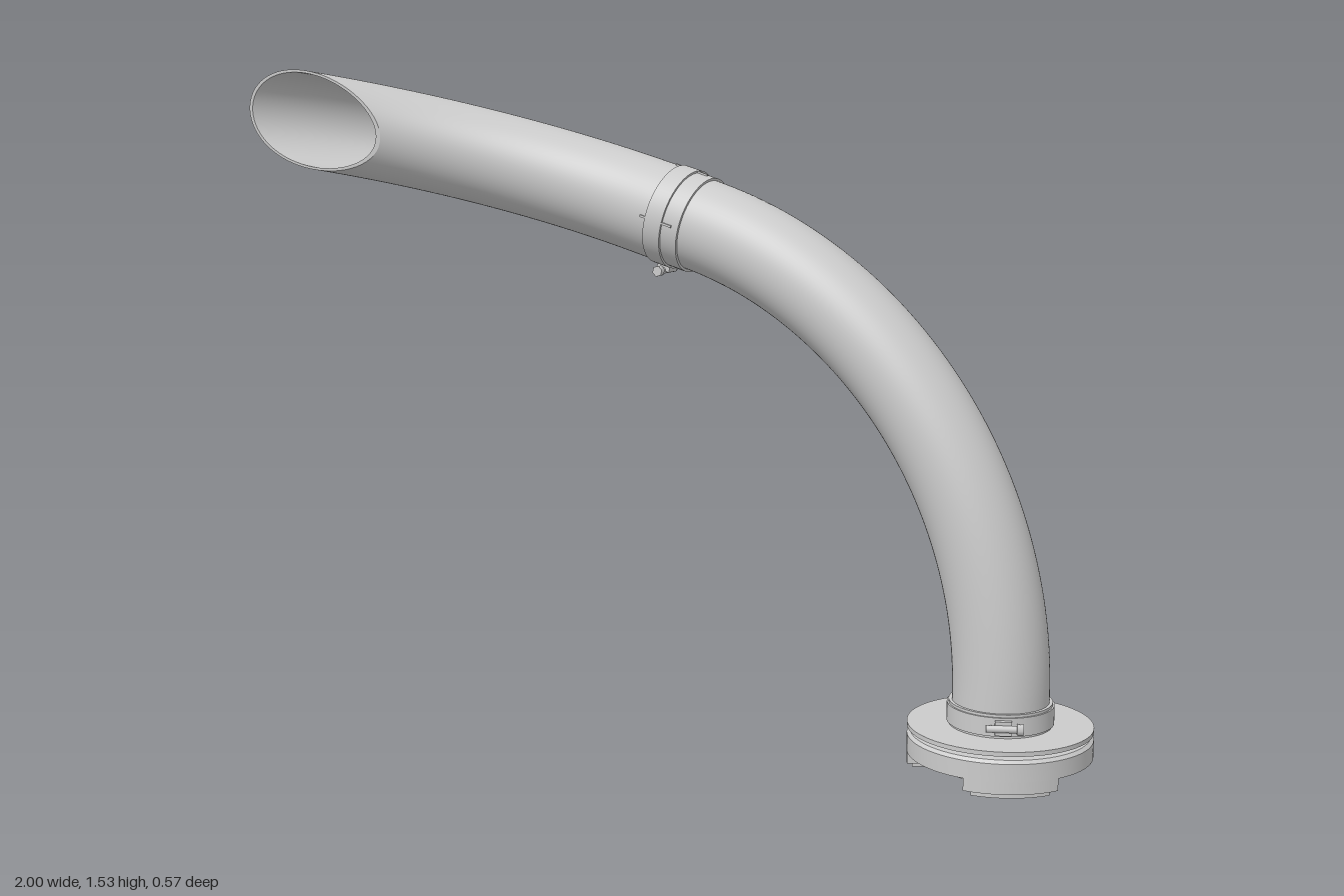
import * as THREE from 'three';
import { ParametricGeometry } from 'three/addons/geometries/ParametricGeometry.js';
import { mergeGeometries, toCreasedNormals } from 'three/addons/utils/BufferGeometryUtils.js';

const material = new THREE.MeshStandardMaterial({ color: 0xcccccc });
const BASE_X = 0.795, PIPE_Z = -0.08, BEND = 1.03, TILT = THREE.MathUtils.degToRad(75);
const JOINT = new THREE.Vector3(0, 1.183, PIPE_Z);
const rad = THREE.MathUtils.degToRad;

function mesh(geometry, name) {
  const m = new THREE.Mesh(geometry, material);
  m.name = name;
  return m;
}

// Pipe with wall thickness; at(phi, v, radius, target) gives a surface point
function pipe(at, radius, wall, stacks, name) {
  const bore = radius - wall, turn = Math.PI * 2;
  const surface = (fn, n) => new ParametricGeometry(fn, 64, n);
  return mesh(mergeGeometries([
    surface((u, v, p) => at(u * turn, v, radius, p), stacks),
    surface((u, v, p) => at(-u * turn, v, bore, p), stacks),
    surface((u, v, p) => at(u * turn, 1, radius - wall * v, p), 1),
    surface((u, v, p) => at(u * turn, 0, bore + wall * v, p), 1),
  ]), name);
}

// Lower pipe: short riser, 75 degree bend, short spigot inside the upper pipe
function lowerPoint(phi, v, r, p) {
  const riser = 0.15, spigot = 0.08, arc = BEND * TILT;
  const s = v * (riser + arc + spigot) - riser;
  const a = THREE.MathUtils.clamp(s / BEND, 0, TILT);
  const extra = s - a * BEND, rho = BEND + r * Math.cos(phi);
  p.set(
    BASE_X - BEND + rho * Math.cos(a) - extra * Math.sin(a),
    0.18 + rho * Math.sin(a) + extra * Math.cos(a),
    PIPE_Z - r * Math.sin(phi));
}

// Upper pipe: short straight socket, then a forward bend ending in an oblique cut
function upperPoint(phi, v, r, p) {
  const start = -0.035, bendAt = 0.11, cutSlope = 0.14, socket = 0.12;
  const rho = BEND + r * Math.cos(phi);
  const k = BEND - 0.36 - cutSlope * (bendAt - 1.035);
  const cutAngle = Math.atan(cutSlope) + Math.acos(k / (rho * Math.hypot(1, cutSlope)));
  const a = Math.max(0, (v - socket) / (1 - socket)) * cutAngle;
  const u = v < socket ? start + (bendAt - start) * v / socket : bendAt + rho * Math.sin(a);
  const side = -r * Math.sin(phi);
  p.set(
    JOINT.x - u * Math.sin(TILT) + side * Math.cos(TILT),
    JOINT.y + u * Math.cos(TILT) + side * Math.sin(TILT),
    JOINT.z + BEND - rho * Math.cos(a));
}

// Turned ring from a closed profile of [radius, height], outer side going up
function turned(profile, name) {
  const pts = [...profile, profile[0]].map(([r, y]) => new THREE.Vector2(r, y));
  return mesh(toCreasedNormals(new THREE.LatheGeometry(pts, 72), 0.5), name);
}

function ring(inner, outer, y0, y1, name) {
  return turned([[outer, y0], [outer, y1], [inner, y1], [inner, y0]], name);
}

// Arc-shaped block; angles are measured from the front towards the left
function sector(inner, outer, from, to, y0, y1, name) {
  const a = rad(from - 90), b = rad(to - 90), shape = new THREE.Shape();
  shape.absarc(0, 0, outer, a, b, false);
  shape.absarc(0, 0, inner, b, a, true);
  const g = new THREE.ExtrudeGeometry(shape, { depth: y1 - y0, bevelEnabled: false, curveSegments: 16 });
  g.rotateX(-Math.PI / 2).translate(0, y0, 0);
  return mesh(toCreasedNormals(g, 0.5), name);
}

// Hose clamp around the y axis with its screw at the given angle
function clamp(radius, width, screwAngle, name) {
  const g = new THREE.Group();
  g.name = name;
  g.add(ring(radius - 0.006, radius, -width / 2, width / 2, 'clampBand'));
  const lock = new THREE.Group();
  lock.name = 'clampScrew';
  lock.rotation.y = rad(screwAngle);
  const housing = mesh(new THREE.BoxGeometry(0.036, width * 0.75, 0.014), 'screwHousing');
  housing.position.z = radius + 0.004;
  const screw = mesh(new THREE.CylinderGeometry(0.008, 0.008, 0.075, 16), 'screw');
  const head = mesh(new THREE.CylinderGeometry(0.013, 0.013, 0.014, 6), 'screwHead');
  for (const m of [screw, head]) {
    m.rotation.z = Math.PI / 2;
    m.position.z = radius + 0.011;
  }
  head.position.x = 0.036;
  lock.add(housing, screw, head);
  g.add(lock);
  return g;
}

export function createModel() {
  const model = new THREE.Group();
  model.name = 'curvedOutletPipe';
  model.add(pipe(lowerPoint, 0.107, 0.006, 64, 'lowerPipe'));
  model.add(pipe(upperPoint, 0.113, 0.006, 50, 'upperPipe'));

  // Clamp and thin tabs at the joint between the pipes
  const joint = clamp(0.118, 0.045, -90, 'jointClamp');
  joint.position.copy(JOINT).add(new THREE.Vector3(-0.03 * Math.sin(TILT), 0.03 * Math.cos(TILT), 0));
  joint.rotation.z = TILT;
  for (let i = 0; i < 4; i++) {
    const a = i * Math.PI / 2;
    const tab = mesh(new THREE.BoxGeometry(0.005, 0.085, 0.006), 'jointTab');
    tab.position.set(Math.sin(a) * 0.114, -0.005, Math.cos(a) * 0.114);
    tab.rotation.y = a;
    joint.add(tab);
  }
  model.add(joint);

  // Coupling at the foot
  const coupling = new THREE.Group();
  coupling.name = 'coupling';
  coupling.position.set(BASE_X, 0, PIPE_Z);
  coupling.add(ring(0.105, 0.114, 0.09, 0.16, 'collar'));
  coupling.add(ring(0.105, 0.205, 0.097, 0.107, 'flange'));
  coupling.add(ring(0.105, 0.14, 0.08, 0.1, 'neck'));
  coupling.add(turned([[0.205, 0.04], [0.205, 0.08], [0.198, 0.087], [0.125, 0.087], [0.125, 0.04]], 'couplingBody'));
  coupling.add(ring(0.1, 0.125, 0.006, 0.087, 'seal'));
  coupling.add(ring(0.135, 0.15, 0.025, 0.045, 'innerLip'));
  for (let i = 0; i < 3; i++) {
    coupling.add(sector(0.165, 0.204, i * 120, i * 120 + 60, 0.012, 0.045, 'couplingLug'));
    coupling.add(sector(0.145, 0.192, i * 120 + 4, i * 120 + 56, 0, 0.014, 'lugHook'));
  }
  const foot = clamp(0.118, 0.042, 25, 'footClamp');
  foot.position.y = 0.133;
  coupling.add(foot);
  model.add(coupling);
  return model;
}
